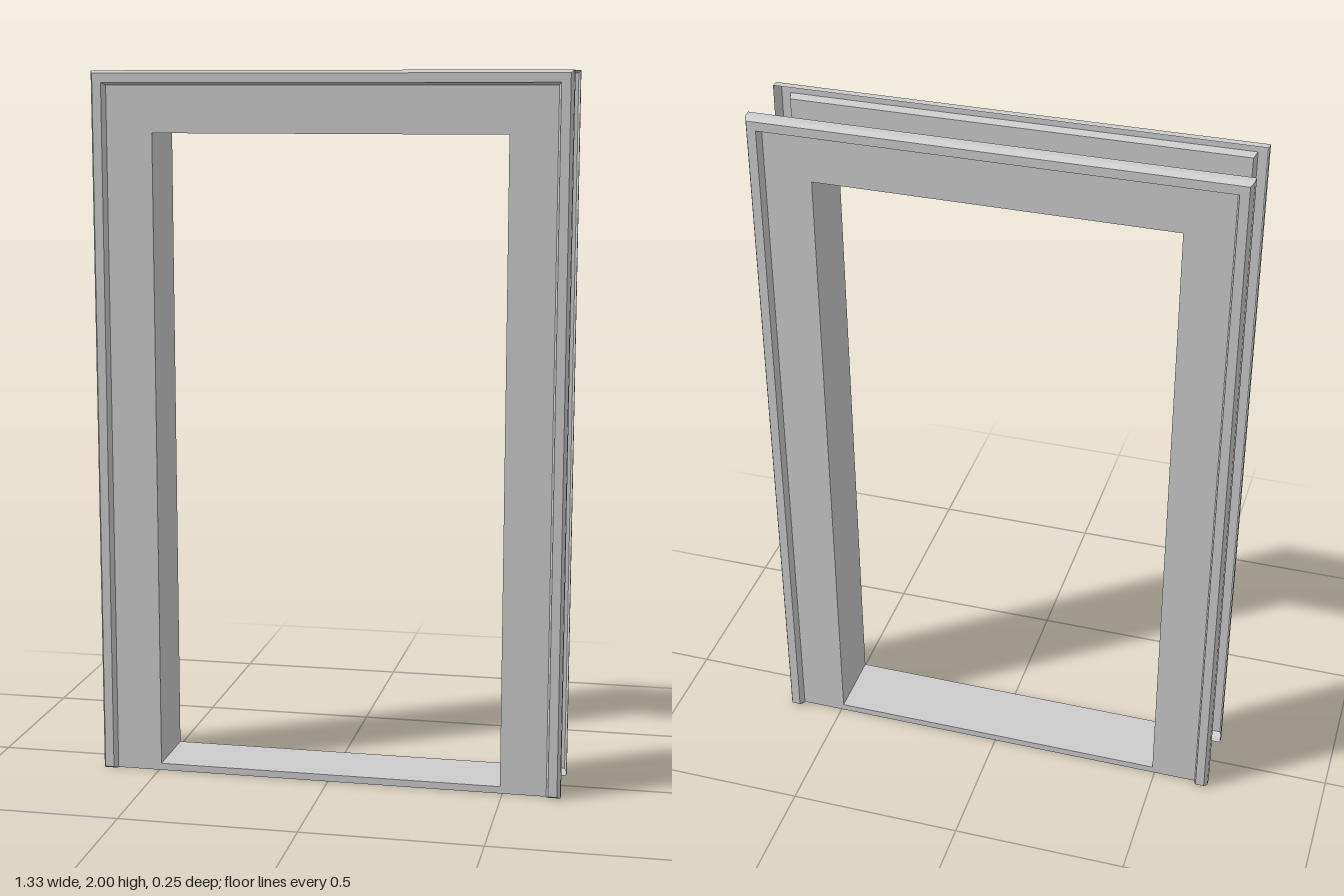
import * as THREE from 'three';

const W = 0.663, H = 2;              // outer half width and height
const OW = 0.493, OH = 1.83;         // opening half width and height
const SILL = 0.02, FACE = 0.1;       // sill height, depth of the flat casing
const RIM = 0.04;                    // width of the raised border

const material = new THREE.MeshStandardMaterial({
  color: 0xcccccc, flatShading: true, side: THREE.DoubleSide,
});

function mesh(name, geometry) {
  const m = new THREE.Mesh(geometry, material);
  m.name = name;
  return m;
}

// Sheet joining successive rows of points with quads
function loft(rows) {
  const pos = [];
  for (let i = 0; i < rows.length - 1; i++) {
    for (let j = 0; j < rows[i].length - 1; j++) {
      const a = rows[i][j], b = rows[i][j + 1], c = rows[i + 1][j + 1], d = rows[i + 1][j];
      pos.push(...a, ...c, ...b, ...a, ...d, ...c);
    }
  }
  const g = new THREE.BufferGeometry();
  g.setAttribute('position', new THREE.Float32BufferAttribute(pos, 3));
  g.computeVertexNormals();
  return g;
}

// Flat casing around the opening, open at the bottom
function casingPanel() {
  const x = W - RIM, y = H - RIM;
  const shape = new THREE.Shape([
    [-x, 0], [-OW, 0], [-OW, OH], [OW, OH], [OW, 0], [x, 0], [x, y], [-x, y],
  ].map(p => new THREE.Vector2(...p)));
  return new THREE.ShapeGeometry(shape).translate(0, 0, FACE);
}

// Raised border: [inset from the outer edge, depth, height of the lower end]
function borderMoulding() {
  const profile = [
    [0, 0.085, 0], [0, 0.107, 0], [0.008, 0.123, 0.008],
    [RIM - 0.007, 0.123, 0.008], [RIM, FACE, 0],
  ];
  return loft(profile.map(([d, z, foot]) => [
    [-W + d, foot, z], [-W + d, H - d, z], [W - d, H - d, z], [W - d, foot, z],
  ]));
}

// Chamfered end closing the foot of the border
function borderFoot(side) {
  const row = (d, dTop) => [
    [side * (W - d), 0, 0.085], [side * (W - d), 0, 0.107], [side * (W - dTop), 0.008, 0.123],
  ];
  const a = row(0, 0.008), b = row(RIM, RIM - 0.007);
  return loft(side > 0 ? [a, b] : [b, a]);
}

function casing(name) {
  const g = new THREE.Group();
  g.name = name;
  g.add(mesh('casingPanel', casingPanel()), mesh('borderMoulding', borderMoulding()));
  for (const s of [-1, 1]) g.add(mesh(s > 0 ? 'leftBorderFoot' : 'rightBorderFoot', borderFoot(s)));
  // Low upright lip in front of the sill
  g.add(mesh('sillLip', new THREE.PlaneGeometry(2 * OW, SILL).translate(0, SILL / 2, FACE)));
  return g;
}

export function createModel() {
  const model = new THREE.Group();
  model.name = 'doorFrame';

  // Matching casings on both faces
  const front = casing('frontCasing');
  const back = casing('backCasing');
  back.rotation.y = Math.PI;
  model.add(front, back);

  // Lining of the opening: two jambs, head and sill
  for (const s of [-1, 1]) {
    const jamb = new THREE.PlaneGeometry(2 * FACE, OH - SILL)
      .rotateY(-s * Math.PI / 2).translate(s * OW, (OH + SILL) / 2, 0);
    model.add(mesh(s > 0 ? 'leftJamb' : 'rightJamb', jamb));
  }
  model.add(mesh('head', new THREE.PlaneGeometry(2 * OW, 2 * FACE)
    .rotateX(Math.PI / 2).translate(0, OH, 0)));
  model.add(mesh('sill', new THREE.PlaneGeometry(2 * OW, 2 * FACE)
    .rotateX(-Math.PI / 2).translate(0, SILL, 0)));

  return model;
}
